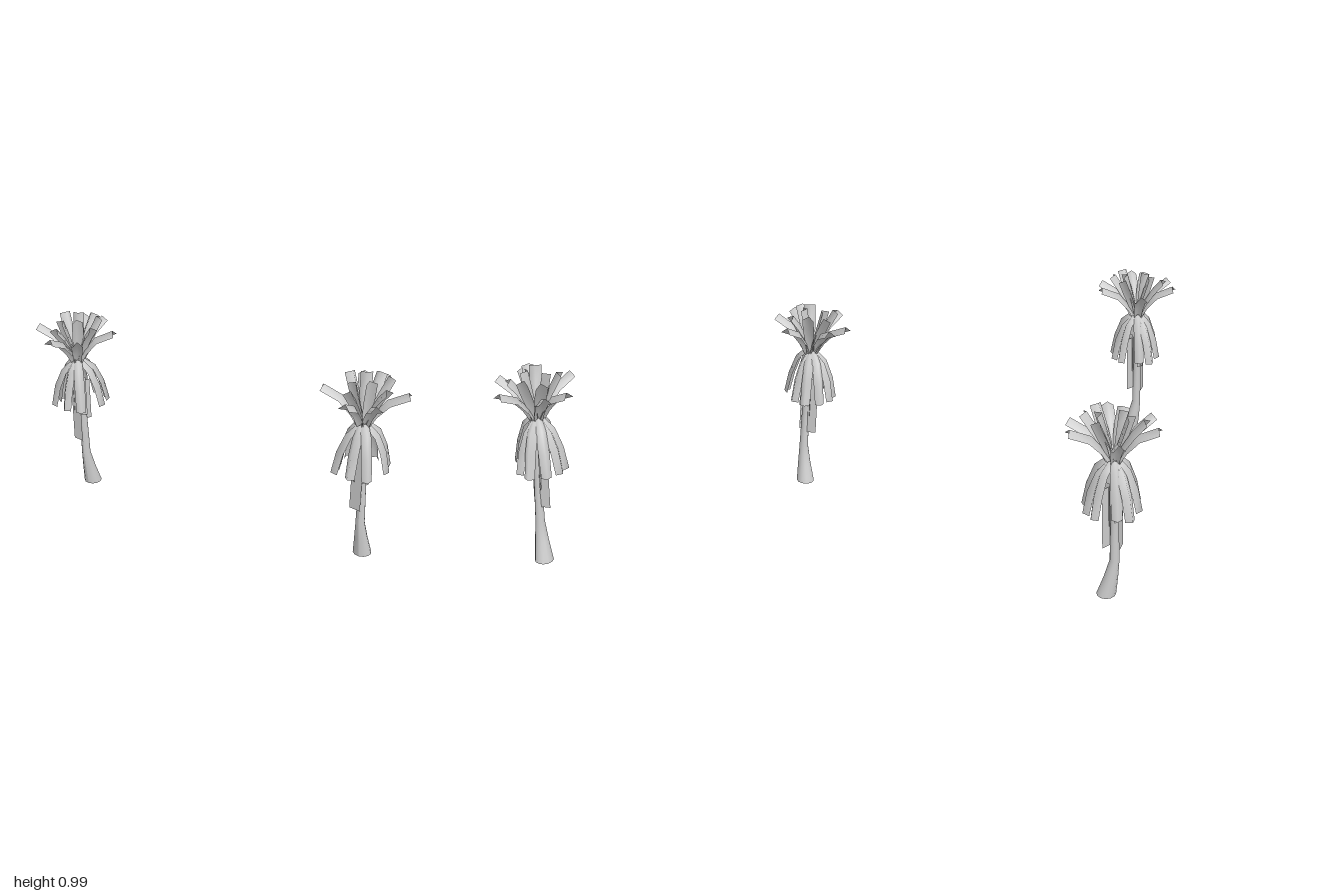
import * as THREE from 'three';

const palmGrey = new THREE.MeshStandardMaterial({ color: 0xcccccc, side: THREE.DoubleSide });
palmGrey.name = 'palmGrey';

// Roof-shaped leaf: stations are [radius, height, halfWidth], swept along a compass angle
function leafGeometry(angle, stations) {
  const rows = stations.length;
  const geo = new THREE.PlaneGeometry(1, 1, 2, rows - 1);
  const pos = geo.attributes.position;
  const c = Math.cos(angle), s = Math.sin(angle);
  for (let i = 0; i < rows; i++) {
    const [r, y, w] = stations[rows - 1 - i];
    const a = stations[Math.max(rows - 2 - i, 0)];
    const b = stations[Math.min(rows - i, rows - 1)];
    const len = Math.hypot(b[0] - a[0], b[1] - a[1]);
    const nr = -(b[1] - a[1]) / len, ny = (b[0] - a[0]) / len;
    for (let j = 0; j < 3; j++) {
      const side = (j - 1) * w;
      const lift = j === 1 ? w * 0.4 : -w * 0.6;
      const rr = r + nr * lift;
      pos.setXYZ(i * 3 + j, c * rr - s * side, y + ny * lift, s * rr + c * side);
    }
  }
  geo.computeVertexNormals();
  return geo;
}

// Trunk: open tube of horizontal rings along a bent, tapering path [x, y, z, radius]
function trunkGeometry() {
  const rings = [
    [0.026, 0, -0.043, 0.047], [0.022, 0.1, -0.02, 0.034], [0.018, 0.2, -0.002, 0.023],
    [0.015, 0.45, 0, 0.019], [0.004, 0.75, 0, 0.016],
  ];
  const geo = new THREE.CylinderGeometry(1, 1, 1, 12, rings.length - 1, true);
  const pos = geo.attributes.position;
  for (let i = 0; i < pos.count; i++) {
    const [x, y, z, r] = rings[Math.round((pos.getY(i) + 0.5) * (rings.length - 1))];
    pos.setXYZ(i, x + pos.getX(i) * r, y, z + pos.getZ(i) * r);
  }
  geo.computeVertexNormals();
  return geo;
}

function add(group, name, geo) {
  const mesh = new THREE.Mesh(geo, palmGrey);
  mesh.name = name;
  group.add(mesh);
  return mesh;
}

function createPalm() {
  const palm = new THREE.Group();
  add(palm, 'trunk', trunkGeometry());

  // Wide outer fronds, by tip [x, z]
  [[-0.2, 0.04], [0.2, -0.045], [-0.03, 0.2], [0.11, 0.16], [0.04, -0.2], [-0.075, -0.19]].forEach(([x, z]) => {
    const r = Math.hypot(x, z);
    add(palm, 'outerFrond', leafGeometry(Math.atan2(z, x), [
      [0.008, 0.72, 0.016], [0.05, 0.805, 0.024], [0.11, 0.878, 0.029], [r, 0.924, 0.029],
    ]));
  });

  // Steeper inner fronds, by tip [x, z, y]
  [[-0.095, -0.06, 0.98], [0.09, -0.08, 0.98], [0.115, 0.03, 0.955], [-0.03, 0.14, 0.965],
    [0.025, -0.13, 0.97], [-0.035, 0.07, 0.985], [-0.02, -0.06, 0.99], [0.03, 0.03, 0.985]].forEach(([x, z, y]) => {
    const r = Math.hypot(x, z);
    add(palm, 'innerFrond', leafGeometry(Math.atan2(z, x), [
      [0.006, 0.73, 0.016], [r * 0.3, 0.82, 0.024], [r * 0.64, 0.9, 0.029], [r, y, 0.029],
    ]));
  });

  // Drooping skirt, by compass angle in degrees and reach
  [[-13, 0.13], [-45, 0.152], [-79, 0.145], [-112, 0.14], [-138, 0.135], [168, 0.112],
    [142, 0.14], [98, 0.12], [55, 0.13]].forEach(([deg, r], i) => {
    const lift = (i % 3) * 0.008;
    add(palm, 'droopingFrond', leafGeometry(THREE.MathUtils.degToRad(deg), [
      [0.004, 0.725 + lift, 0.02], [0.03, 0.74 + lift, 0.022], [r * 0.56, 0.695 + lift, 0.025],
      [r * 0.83, 0.61, 0.027], [r, 0.498, 0.025],
    ]));
  });

  // Flat dead leaves hanging beside the trunk: [x1, z1, x2, z2, bottom, top]
  [
    [-0.035, 0.022, 0.025, 0.036, 0.285, 0.63],
    [-0.017, -0.055, 0.018, -0.02, 0.285, 0.6],
    [0.03, -0.055, 0.008, -0.022, 0.39, 0.62],
    [0.02, 0.03, 0.05, 0.012, 0.44, 0.66],
    [-0.04, 0.004, -0.014, 0.034, 0.44, 0.66],
  ].forEach(([x1, z1, x2, z2, bottom, top]) => {
    const strip = add(palm, 'hangingLeaf', new THREE.PlaneGeometry(Math.hypot(x2 - x1, z2 - z1), top - bottom));
    strip.position.set((x1 + x2) / 2, (bottom + top) / 2, (z1 + z2) / 2);
    strip.rotation.y = -Math.atan2(z2 - z1, x2 - x1);
  });
  return palm;
}

export function createModel() {
  const model = new THREE.Group();
  model.name = 'palmPair';
  // Two matching trees, both turned the same way
  [['rightPalm', -0.795], ['leftPalm', 0.795]].forEach(([name, x]) => {
    const palm = createPalm();
    palm.name = name;
    palm.position.x = x;
    model.add(palm);
  });
  return model;
}
